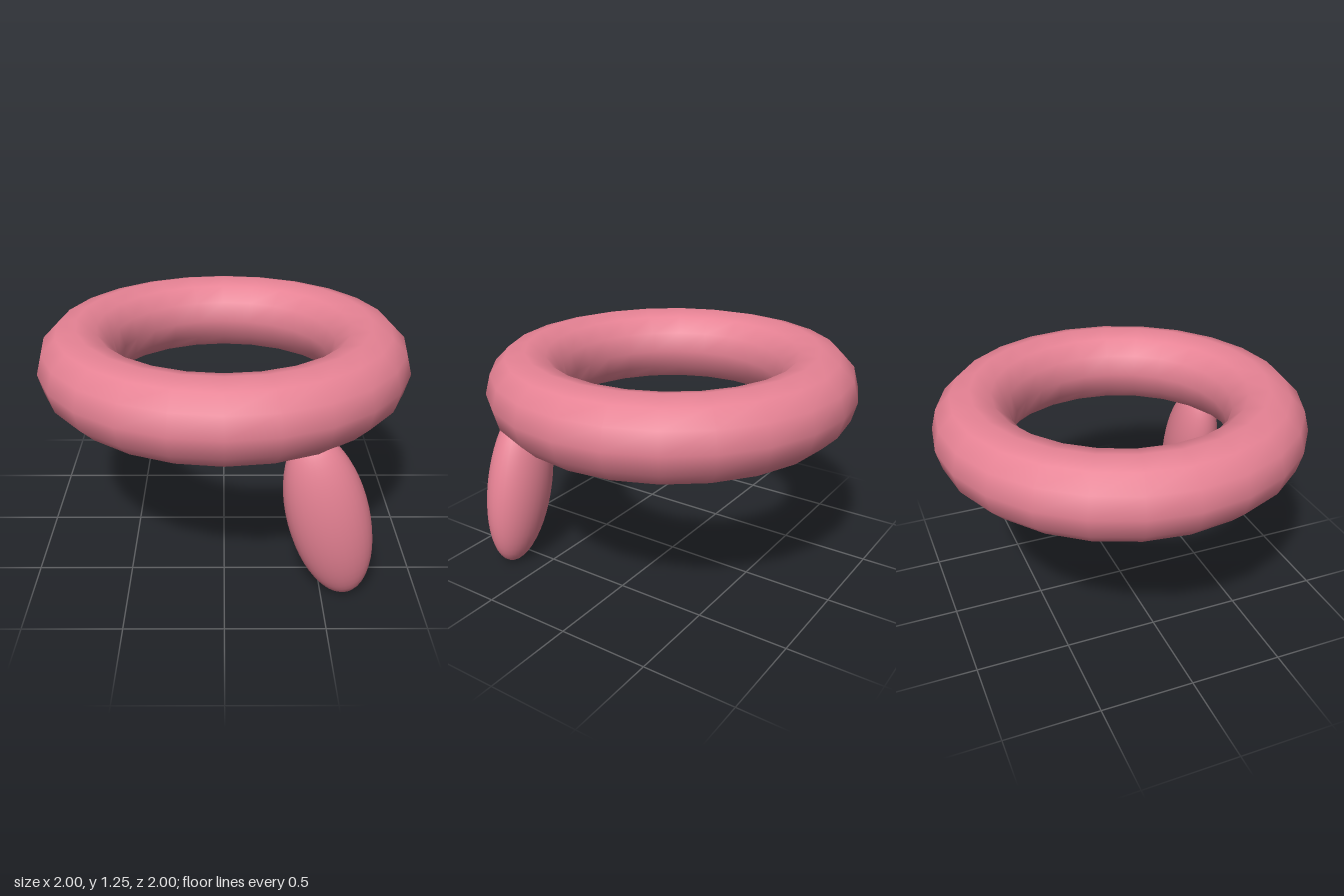
import * as THREE from 'three';

export function createModel() {
  const group = new THREE.Group();
  const pink = new THREE.MeshStandardMaterial({ color: 0xe68294 });

  // Horizontal ring
  const ring = new THREE.Mesh(new THREE.TorusGeometry(0.785, 0.215, 12, 24), pink);
  ring.name = 'ring';
  ring.rotation.x = -Math.PI / 2;
  ring.position.y = 1.04;
  group.add(ring);

  // Slanted ellipsoid hanging from the ring, its top sunk into the tube
  const pendant = new THREE.Mesh(new THREE.SphereGeometry(1, 32, 24), pink);
  pendant.name = 'pendant';
  pendant.scale.set(0.207, 0.472, 0.155);
  pendant.rotation.z = 0.253;
  pendant.position.set(0.52, 0.46, 0.695);
  group.add(pendant);

  return group;
}
